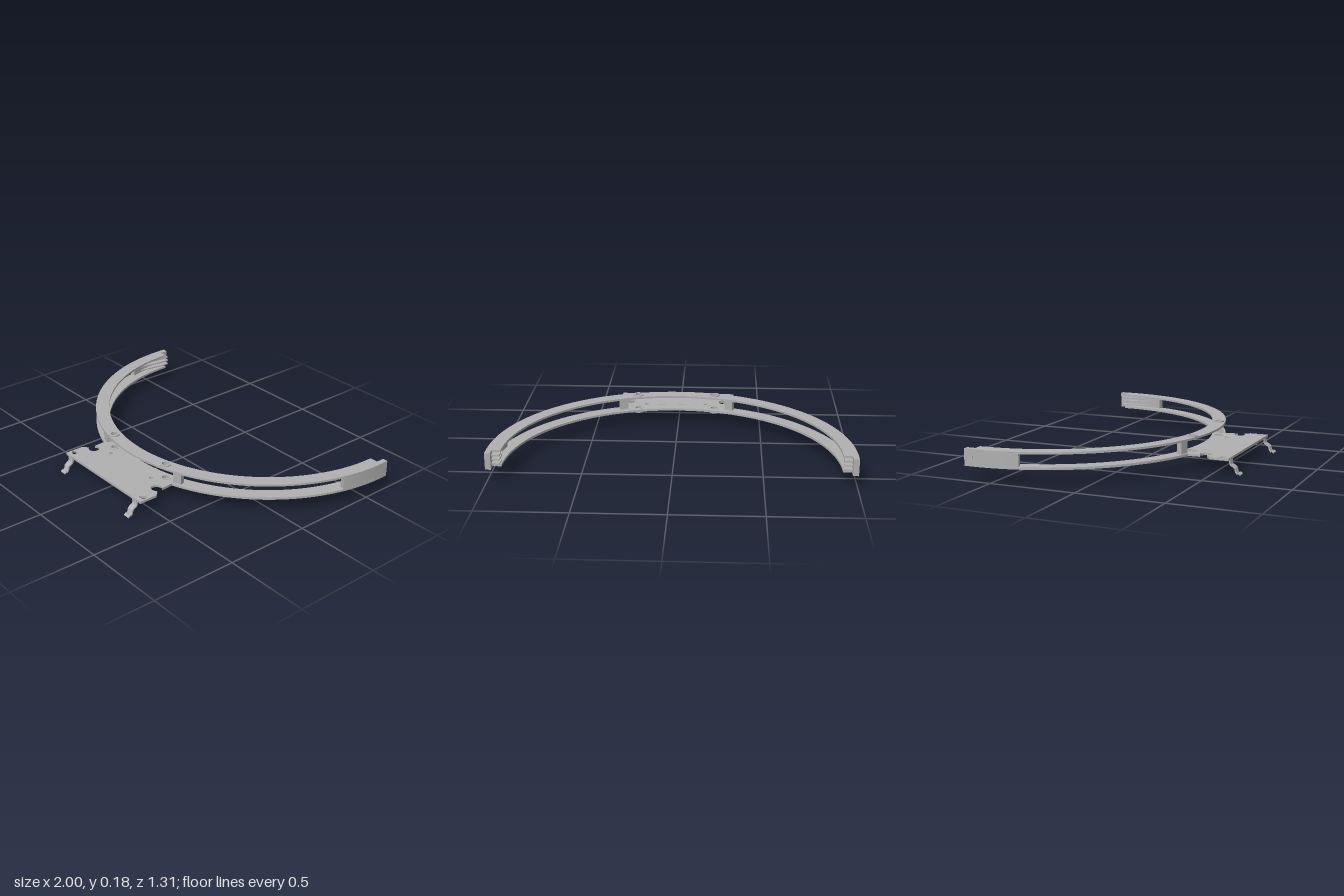
import * as THREE from 'three';
import { toCreasedNormals } from 'three/addons/utils/BufferGeometryUtils.js';

const CZ = 0.605; // ring centre in plan; plan coordinates are (x, -z)
const BOLTS = [[-0.22, -0.335], [0.245, -0.325]];

function circleHole(shape, x, y, r, ry = r, rot = 0) {
  const hole = new THREE.Path();
  hole.absellipse(x, y, r, ry, 0, Math.PI * 2, true, rot);
  shape.holes.push(hole);
}

// Extrude a plan shape upward from y0 to y1
function slab(shape, y0, y1, curveSegments = 24) {
  const g = new THREE.ExtrudeGeometry(shape, { depth: y1 - y0, bevelEnabled: false, curveSegments });
  g.rotateX(-Math.PI / 2).translate(0, y0, 0);
  return toCreasedNormals(g, 0.5);
}

export function createModel() {
  const model = new THREE.Group();
  const grey = new THREE.MeshStandardMaterial({ color: 0xb0b0b0 });
  grey.name = 'grey metal';
  const add = (name, geometry) => {
    const mesh = new THREE.Mesh(geometry, grey);
    mesh.name = name;
    model.add(mesh);
    return mesh;
  };

  // Two half-ring rails with bolt holes
  const ring = new THREE.Shape();
  ring.absarc(0, CZ, 1, Math.PI, Math.PI * 2, false);
  ring.absarc(0, CZ, 0.92, Math.PI * 2, Math.PI, true);
  ring.closePath();
  for (const [x, y] of BOLTS) circleHole(ring, x, y, 0.022);
  add('lowerRail', slab(ring, 0.082, 0.095, 72));
  add('upperRail', slab(ring, 0.165, 0.177, 72));

  // Flanged bushings on both sides of each rail
  for (const [x, y] of BOLTS) {
    for (const [y0, y1] of [[0.071, 0.097], [0.16, 0.184]]) {
      const washer = new THREE.Shape();
      washer.absarc(x, y, 0.031, 0, Math.PI * 2, false);
      circleHole(washer, x, y, 0.02);
      add('bushing', slab(washer, y0, y1));
    }
  }

  // Spacer posts between the rails
  for (const x of [-0.312, 0.335]) {
    const a = Math.asin(x / 0.97);
    const post = add('spacerPost', new THREE.BoxGeometry(0.05, 0.072, 0.035));
    post.position.set(x, 0.13, -CZ + 0.97 * Math.cos(a));
    post.rotation.y = a;
  }

  // End connectors: curved wall, projecting tab and tapering contact fins
  for (const side of [1, -1]) {
    const arc = (shape, r, a0, a1) => {
      for (let i = 0; i <= 12; i++) {
        const a = a0 + (a1 - a0) * i / 12;
        const x = side * r * Math.cos(a), y = CZ + r * Math.sin(a);
        if (i || shape.curves.length) shape.lineTo(x, y);
        else shape.moveTo(x, y);
      }
    };
    const wall = new THREE.Shape();
    arc(wall, 0.999, -0.263, 0);
    arc(wall, 0.968, 0, -0.263);
    add('endWall', slab(wall, 0.094, 0.166));

    const tab = add('endTab', new THREE.BoxGeometry(0.032, 0.095, 0.05));
    tab.position.set(side * 0.984, 0.1295, -0.63);

    for (const y of [0.106, 0.13, 0.154]) {
      const fin = new THREE.Shape();
      arc(fin, 0.97, -0.2, 0);
      fin.lineTo(side * 0.97, 0.63);
      fin.lineTo(side * 0.924, 0.63);
      fin.lineTo(side * 0.924, CZ - 0.02);
      add('contactFin', slab(fin, y - 0.004, y + 0.004));
    }
  }

  // Mounting plate, its back edge following the ring
  const plate = new THREE.Shape();
  plate.moveTo(-0.34, -0.595);
  plate.lineTo(0.365, -0.595);
  plate.lineTo(0.365, -0.485);
  plate.lineTo(0.337, -0.457);
  plate.lineTo(0.328, -0.46);
  plate.absarc(0.305, -0.437, 0.032, -0.8, 0.6, true);
  plate.lineTo(0.328, -0.415);
  const a0 = -Math.PI / 2 + Math.asin(0.32), a1 = -Math.PI / 2 - Math.asin(0.308);
  plate.absarc(0, CZ, 0.999, a0, a1, true);
  plate.lineTo(-0.303, -0.417);
  plate.absarc(-0.28, -0.44, 0.032, Math.PI - 0.8, Math.PI + 0.6, true);
  plate.lineTo(-0.312, -0.46);
  plate.lineTo(-0.34, -0.485);
  plate.closePath();
  circleHole(plate, -0.315, -0.556, 0.023, 0.014, -0.6);
  circleHole(plate, 0.337, -0.553, 0.023, 0.014, 0.6);
  circleHole(plate, -0.17, -0.396, 0.011);
  circleHole(plate, 0.2, -0.392, 0.011);
  add('mountingPlate', slab(plate, 0.082, 0.096));

  // Bent spring clips hanging from the plate's front edge
  const bend = [[0.593, 0.094], [0.593, 0.066], [0.599, 0.054], [0.616, 0.045], [0.624, 0.036],
    [0.628, 0.018], [0.636, 0.008], [0.643, 0.012], [0.649, 0.007], [0.656, 0.004]]
    .map(([z, y]) => new THREE.Vector2(z, y));
  const offset = (sign) => bend.map((p, i) => {
    const d = bend[Math.min(i + 1, bend.length - 1)].clone().sub(bend[Math.max(i - 1, 0)]).normalize();
    return new THREE.Vector2(p.x - d.y * 0.004 * sign, p.y + d.x * 0.004 * sign);
  });
  const strip = new THREE.Shape([...offset(1), ...offset(-1).reverse()]);
  for (const x of [-0.295, 0.315]) {
    const g = new THREE.ExtrudeGeometry(strip, { depth: 0.04, bevelEnabled: false });
    g.rotateY(-Math.PI / 2).translate(x + 0.02, 0, 0);
    add('springClip', toCreasedNormals(g, 0.5));
  }
  return model;
}
